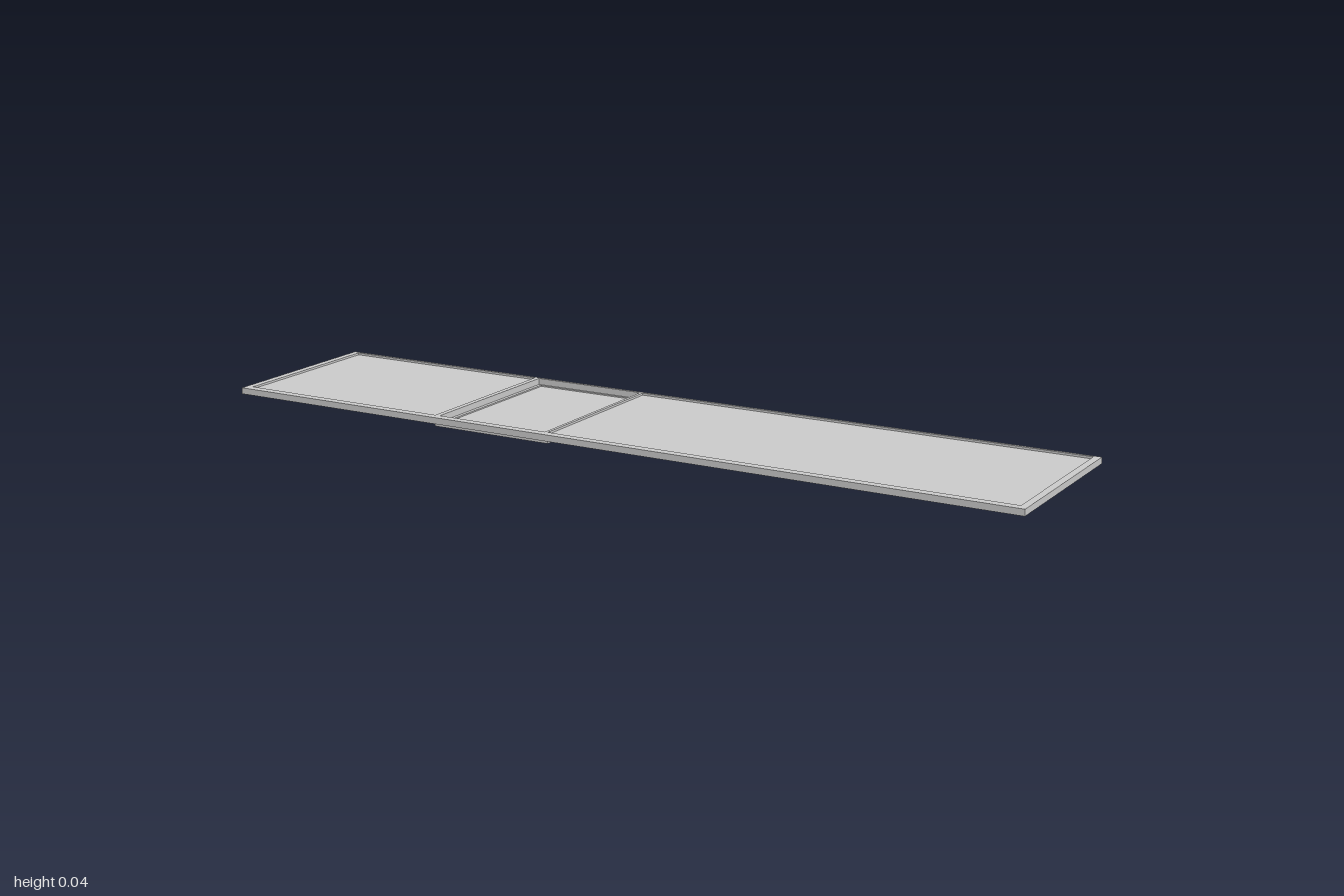
import * as THREE from 'three';

const grey = new THREE.MeshStandardMaterial({ color: 0xcccccc, side: THREE.DoubleSide });

export function createModel() {
  const model = new THREE.Group();

  // box given by its lower and upper limits on each axis
  function bar(parent, name, [x0, x1], [y0, y1], [z0, z1]) {
    const mesh = new THREE.Mesh(new THREE.BoxGeometry(x1 - x0, y1 - y0, z1 - z0), grey);
    mesh.position.set((x0 + x1) / 2, (y0 + y1) / 2, (z0 + z1) / 2);
    mesh.name = name;
    parent.add(mesh);
    return mesh;
  }
  function group(name) {
    const g = new THREE.Group();
    g.name = name;
    model.add(g);
    return g;
  }

  // outer frame: stepped end and long rails, with two mullions
  const frame = group('outerFrame');
  const fy = [0.029, 0.044];
  bar(frame, 'frontRail', [-1, 1], fy, [0.203, 0.224]);
  bar(frame, 'backRail', [-1, 1], fy, [-0.224, -0.216]);
  bar(frame, 'rightEndRail', [-1, -0.983], fy, [-0.216, 0.203]);
  bar(frame, 'leftEndRail', [0.983, 1], fy, [-0.216, 0.203]);
  bar(frame, 'rightMullion', [-0.447, -0.434], fy, [-0.216, 0.203]);
  bar(frame, 'leftMullion', [-0.148, -0.14], fy, [-0.216, 0.203]);

  // fixed panes
  const panes = group('fixedPanes');
  bar(panes, 'shortPane', [-0.983, -0.447], [0.034, 0.039], [-0.216, 0.203]);
  bar(panes, 'longPane', [-0.14, 0.983], [0.034, 0.039], [-0.216, 0.203]);

  // sliding sash hanging below the frame
  const sash = group('slidingSash');
  const sy = [0.018, 0.029];
  bar(sash, 'sashFrontRail', [-0.447, -0.14], sy, [0.193, 0.205]);
  bar(sash, 'sashBackRail', [-0.447, -0.14], sy, [-0.224, -0.212]);
  bar(sash, 'sashRightStile', [-0.447, -0.425], sy, [-0.212, 0.193]);
  bar(sash, 'sashLeftStile', [-0.165, -0.14], sy, [-0.212, 0.193]);
  bar(sash, 'sashPane', [-0.425, -0.165], [0.021, 0.026], [-0.212, 0.193]);

  // latch: mounting plate and a curved lever
  const latch = group('latch');
  bar(latch, 'latchPlate', [-0.43, -0.392], [0.011, 0.018], [-0.055, -0.002]);
  const outline = new THREE.Shape();
  outline.moveTo(0.013, 0.015);
  outline.quadraticCurveTo(0.004, 0.004, -0.006, 0.005);
  outline.lineTo(-0.045, 0.008);
  outline.lineTo(-0.1, 0.015);
  outline.lineTo(-0.101, 0.012);
  outline.lineTo(-0.045, 0.004);
  outline.lineTo(-0.006, 0);
  outline.quadraticCurveTo(0.005, 0, 0.015, 0.011);
  const lever = new THREE.Mesh(
    new THREE.ExtrudeGeometry(outline, { depth: 0.012, bevelEnabled: false, curveSegments: 6 }), grey);
  lever.rotation.y = -Math.PI / 2; // outline runs along z
  lever.position.x = -0.405;
  lever.name = 'latchLever';
  latch.add(lever);
  const pivot = new THREE.Mesh(new THREE.CylinderGeometry(0.008, 0.008, 0.011, 16), grey);
  pivot.position.set(-0.411, 0.009, -0.018);
  pivot.name = 'latchPivot';
  latch.add(pivot);

  return model;
}
